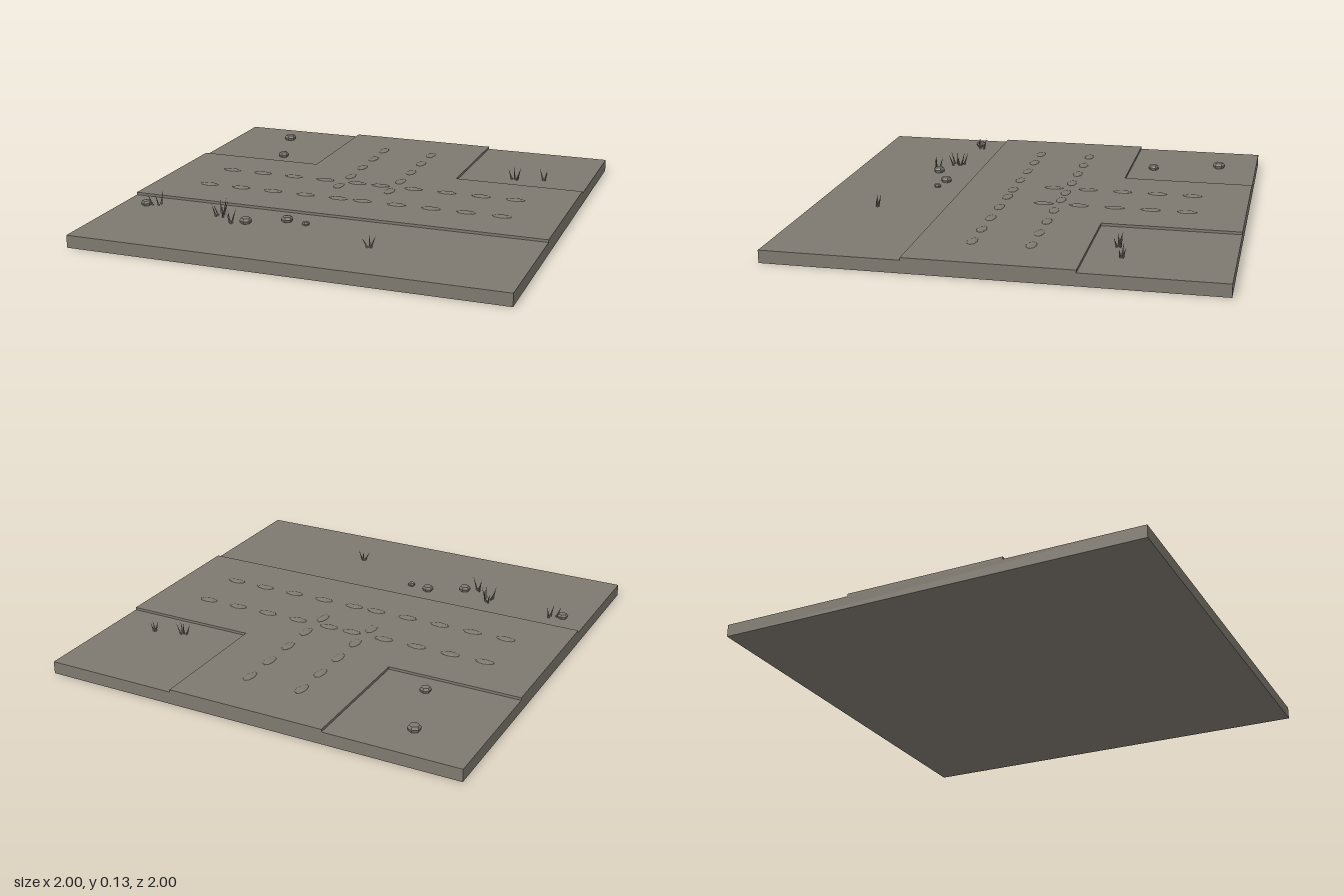
import * as THREE from 'three';

const GROUND = 0.058, ROAD = 0.07;

export function createModel() {
  const root = new THREE.Group();
  root.name = 'roadJunctionTile';
  const earth = new THREE.MeshStandardMaterial({ color: 0x7e796f });
  earth.name = 'dusty earth';
  earth.flatShading = true;

  const add = (name, geometry, x, y, z, parent = root) => {
    const mesh = new THREE.Mesh(geometry, earth);
    mesh.name = name;
    mesh.position.set(x, y, z);
    parent.add(mesh);
    return mesh;
  };

  // Ground slab
  add('ground', new THREE.BoxGeometry(2, GROUND, 2), 0, GROUND / 2, 0);

  // Raised T-shaped road, drawn in x and -z
  const w = 0.372;
  const outline = [[-1, -w], [1, -w], [1, w], [w, w], [w, 1], [-w, 1], [-w, w], [-1, w]];
  const shape = new THREE.Shape(outline.map(([x, y]) => new THREE.Vector2(x, y)));
  const roadGeometry = new THREE.ExtrudeGeometry(shape, { depth: ROAD - GROUND + 0.004, bevelEnabled: false });
  roadGeometry.rotateX(-Math.PI / 2);
  add('road', roadGeometry, 0, GROUND - 0.004, 0);

  // Low mounds along the wheel ruts of all three arms
  const moundGeometry = new THREE.SphereGeometry(1, 8, 4, 0, Math.PI * 2, 0, Math.PI / 2);
  const mound = (x, z, alongX) =>
    add('rutMound', moundGeometry, x, ROAD, z).scale.set(alongX ? 0.047 : 0.023, 0.006, alongX ? 0.023 : 0.047);
  for (let i = 0; i < 5; i++) {
    const d = 0.06 + i * 0.168;
    for (const side of [-0.13, 0.13]) {
      mound(d, side, true);
      mound(-d, side, true);
      mound(side, -d, false);
    }
  }

  // Six-sided pebbles: x, z, radius
  const pebbleProfile = [[0, -0.3], [0.8, -0.3], [1, 0.2], [0.75, 0.6], [0, 0.75]].map(([r, y]) => new THREE.Vector2(r, y));
  const pebbleGeometry = new THREE.LatheGeometry(pebbleProfile, 6);
  const pebbles = [
    [-0.703, -0.813, 0.031], [-0.604, -0.487, 0.027], [-0.88, 0.495, 0.026],
    [-0.334, 0.578, 0.029], [-0.168, 0.495, 0.028], [-0.07, 0.512, 0.018],
  ];
  for (const [x, z, r] of pebbles) add('pebble', pebbleGeometry, x, GROUND + r * 0.25, z).scale.setScalar(r);

  // Grass blades: base x, base z, lean in x, lean in z, height
  const bladeGeometry = new THREE.ConeGeometry(0.005, 1, 4);
  bladeGeometry.translate(0, 0.5, 0);
  const tufts = [
    [[-0.85, 0.49, -0.02, 0.01, 0.055], [-0.82, 0.465, 0.003, -0.018, 0.065], [-0.822, 0.485, -0.012, 0.012, 0.06]],
    [[-0.495, 0.49, -0.015, -0.018, 0.06], [-0.495, 0.525, -0.022, 0.005, 0.055], [-0.475, 0.51, 0.025, 0.005, 0.07],
      [-0.465, 0.54, 0.01, 0.02, 0.06], [-0.5, 0.54, -0.01, 0.022, 0.065], [-0.48, 0.5, 0.006, -0.02, 0.075]],
    [[-0.405, 0.595, -0.015, -0.012, 0.055], [-0.39, 0.608, 0.022, -0.005, 0.075], [-0.395, 0.61, -0.012, 0.012, 0.05]],
    [[0.29, 0.7, -0.022, 0.01, 0.045], [0.305, 0.7, 0.02, -0.005, 0.055], [0.3, 0.695, -0.01, -0.012, 0.06]],
    [[0.625, -0.49, -0.018, 0.005, 0.055], [0.65, -0.5, 0.015, -0.012, 0.06],
      [0.65, -0.485, 0.018, 0.012, 0.05], [0.64, -0.49, -0.012, -0.02, 0.068]],
    [[0.775, -0.525, -0.02, -0.005, 0.06], [0.782, -0.53, 0.008, -0.014, 0.05], [0.782, -0.52, 0.016, 0.005, 0.045]],
  ];
  const up = new THREE.Vector3(0, 1, 0);
  for (const blades of tufts) {
    const tuft = new THREE.Group();
    tuft.name = 'grassTuft';
    root.add(tuft);
    for (const [x, z, dx, dz, h] of blades) {
      const direction = new THREE.Vector3(dx, h, dz);
      const blade = add('grassBlade', bladeGeometry, x, GROUND, z, tuft);
      blade.scale.y = direction.length();
      blade.quaternion.setFromUnitVectors(up, direction.normalize());
    }
  }
  return root;
}
